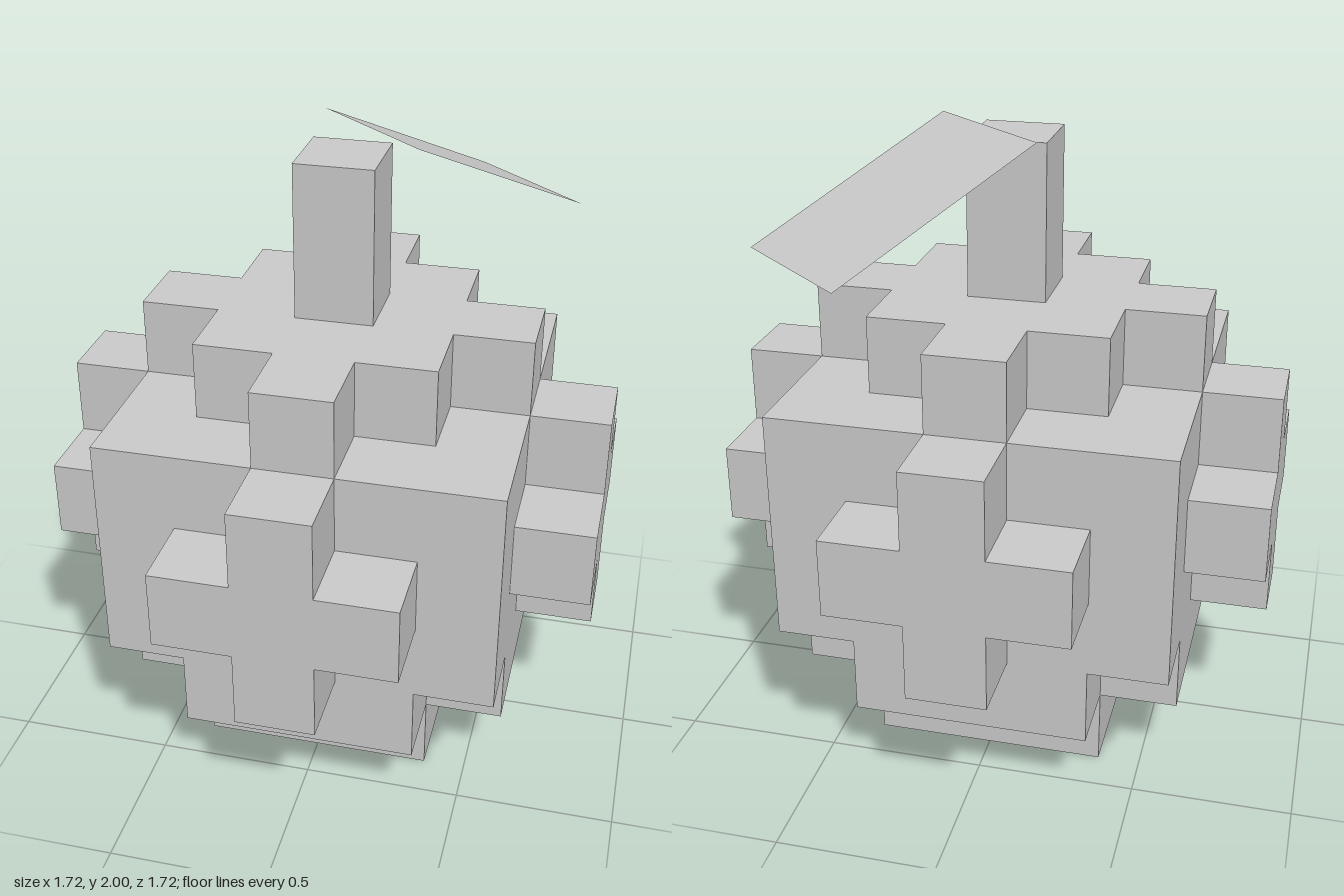
import * as THREE from 'three';
import { mergeGeometries } from 'three/addons/utils/BufferGeometryUtils.js';

const U = 0.245; // edge of one cube

// Each part is a rule on cube coordinates: x, z from -3 to 3, y counted up from the ground
const parts = {
  // ring-shaped foot with a hollow centre
  base: (x, y, z) => y === 0 && Math.max(Math.abs(x), Math.abs(z)) === 1,
  // 5 x 5 core, its lowest layer without corners
  body: (x, y, z) => {
    const a = Math.abs(x), b = Math.abs(z);
    if (a > 2 || b > 2) return false;
    return (y >= 2 && y <= 4) || (y === 1 && a + b < 4);
  },
  // 3 x 3 cap with one arm on each side
  crown: (x, y, z) => {
    const a = Math.abs(x), b = Math.abs(z);
    return y === 5 && ((a <= 1 && b <= 1) || (a + b === 2));
  },
  // raised cross on each of the four sides
  sideCrosses: (x, y, z) => {
    const a = Math.abs(x), b = Math.abs(z);
    return Math.max(a, b) === 3 && Math.min(a, b) + Math.abs(y - 3) <= 1;
  },
  stem: (x, y, z) => x === 0 && z === 0 && (y === 6 || y === 7),
};

const filled = (x, y, z) => Object.values(parts).some((rule) => rule(x, y, z));

const directions = [
  [1, 0, 0], [-1, 0, 0], [0, 1, 0], [0, -1, 0], [0, 0, 1], [0, 0, -1],
].map((d) => new THREE.Vector3(...d));
const forward = new THREE.Vector3(0, 0, 1);

// One square for every cube side that is not covered by a neighbour
function cubeSurface(rule) {
  const faces = [];
  for (let x = -3; x <= 3; x++)
    for (let y = 0; y <= 7; y++)
      for (let z = -3; z <= 3; z++) {
        if (!rule(x, y, z)) continue;
        for (const d of directions) {
          if (filled(x + d.x, y + d.y, z + d.z)) continue;
          const face = new THREE.PlaneGeometry(U, U);
          face.translate(0, 0, U / 2);
          face.applyQuaternion(new THREE.Quaternion().setFromUnitVectors(forward, d));
          face.translate(x * U, (y + 0.5) * U, z * U);
          faces.push(face);
        }
      }
  return mergeGeometries(faces);
}

// Flat sloping leaf beside the stem tip
function leafSurface() {
  const geometry = new THREE.BufferGeometry();
  geometry.setAttribute('position', new THREE.Float32BufferAttribute([
    -0.13, 2, -0.285,
    0.235, 2, 0.035,
    0.675, 1.69, -0.46,
    0.31, 1.69, -0.78,
  ], 3));
  geometry.setIndex([0, 1, 2, 0, 2, 3]);
  geometry.computeVertexNormals();
  return geometry;
}

export function createModel() {
  const model = new THREE.Group();
  model.name = 'blockFruit';
  const material = new THREE.MeshStandardMaterial({ color: 0xcccccc, flatShading: true });

  for (const [name, rule] of Object.entries(parts)) {
    const mesh = new THREE.Mesh(cubeSurface(rule), material);
    mesh.name = name;
    model.add(mesh);
  }

  const leafMaterial = material.clone();
  leafMaterial.side = THREE.DoubleSide;
  const leaf = new THREE.Mesh(leafSurface(), leafMaterial);
  leaf.name = 'leaf';
  model.add(leaf);

  return model;
}
